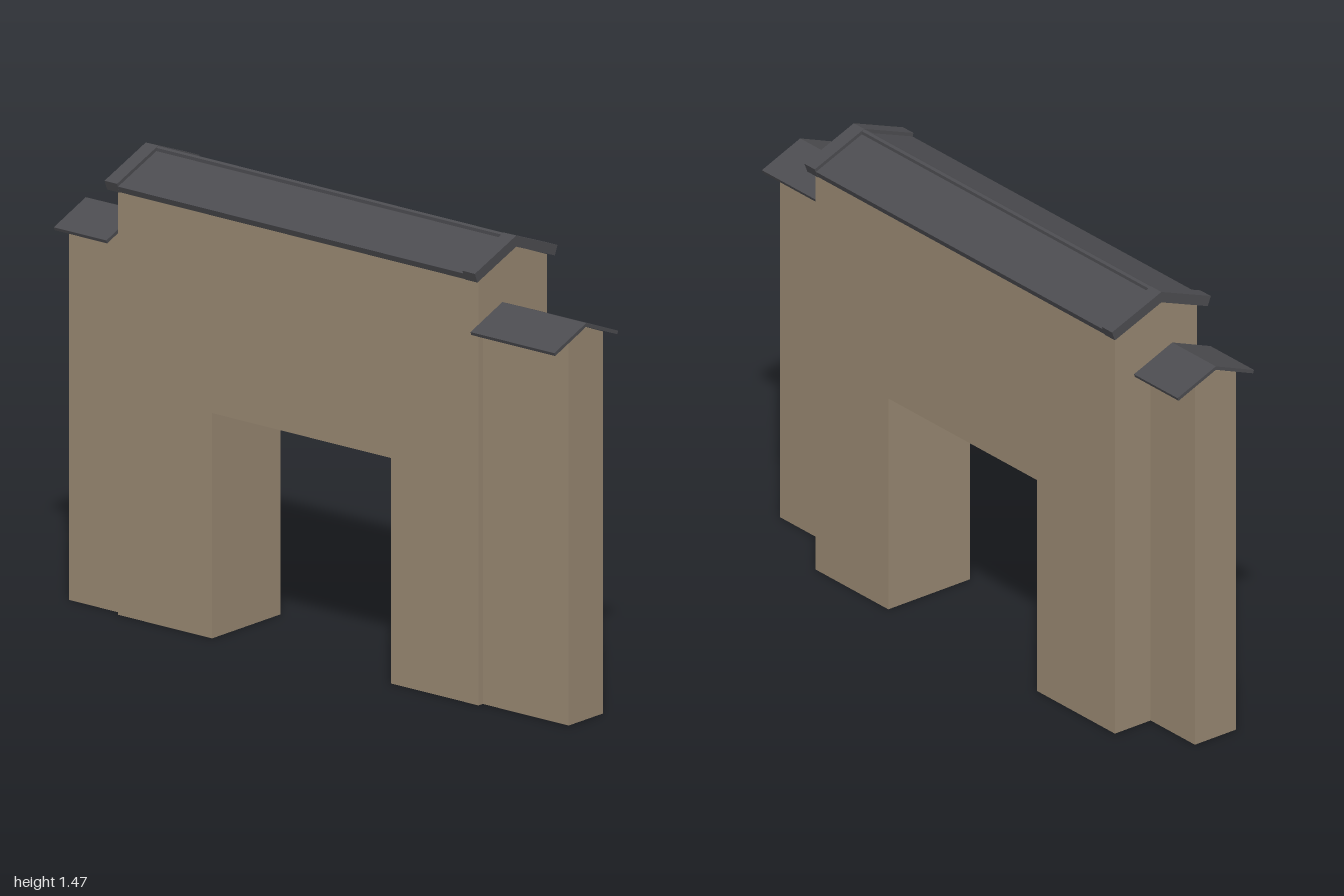
import * as THREE from 'three';

const wallMat = new THREE.MeshStandardMaterial({ color: 0x978771 });
wallMat.name = 'plaster wall';
const roofMat = new THREE.MeshStandardMaterial({ color: 0x4c4c50 });
roofMat.name = 'slate roof';

// Prism with an x-y outline running from z0 to z1
function prism(name, points, z0, z1, material) {
  const shape = new THREE.Shape(points.map(([x, y]) => new THREE.Vector2(x, y)));
  const geometry = new THREE.ExtrudeGeometry(shape, { depth: z1 - z0, bevelEnabled: false });
  geometry.translate(0, 0, z0);
  const mesh = new THREE.Mesh(geometry, material);
  mesh.name = name;
  return mesh;
}

// Pitched roof outline: square-cut eaves, ridge at (cx, ridgeY)
function roofOutline(cx, ridgeY, half, slope, thick) {
  const len = Math.hypot(1, slope);
  const dx = thick * slope / len, dy = thick / len;
  const eaveY = ridgeY - half * slope;
  return [
    [cx - half, eaveY], [cx - half + dx, eaveY - dy],
    [cx, ridgeY - thick * len],
    [cx + half - dx, eaveY - dy], [cx + half, eaveY], [cx, ridgeY],
  ];
}

export function createModel() {
  const group = new THREE.Group();
  group.name = 'gateway';

  // Main wall with the square opening, drawn from the side
  const side = new THREE.Shape([
    [-0.655, 0], [-0.305, 0], [-0.305, 0.72], [0.41, 0.72],
    [0.41, 0], [0.785, 0], [0.785, 1.365], [-0.655, 1.365],
  ].map(([x, y]) => new THREE.Vector2(x, y)));
  const wallGeometry = new THREE.ExtrudeGeometry(side, { depth: 0.323, bevelEnabled: false });
  wallGeometry.rotateY(Math.PI / 2).translate(-0.155, 0, 0);
  const wall = new THREE.Mesh(wallGeometry, wallMat);
  wall.name = 'mainWall';
  group.add(wall);
  group.add(prism('mainGable', [[-0.155, 1.365], [0.168, 1.365], [0.006, 1.43]], -0.785, 0.655, wallMat));

  // Main roof: thinner panel, thick end bands and a narrow ridge strip
  group.add(prism('roofPanel', roofOutline(0.005, 1.454, 0.19, 0.39, 0.021), -0.76, 0.62, roofMat));
  const band = roofOutline(0.005, 1.466, 0.195, 0.39, 0.033);
  group.add(prism('frontRoofBand', band, 0.62, 0.67, roofMat));
  group.add(prism('backRoofBand', band, -0.81, -0.76, roofMat));
  group.add(prism('ridgeStrip', [[-0.004, 1.445], [0.014, 1.445], [0.014, 1.461], [0.005, 1.465], [-0.004, 1.461]],
    -0.76, 0.62, roofMat));

  // Lower side walls with small gabled roofs at both ends
  const pier = [[-0.135, 0], [0.027, 0], [0.027, 1.221], [-0.054, 1.253], [-0.135, 1.221]];
  const smallRoof = roofOutline(-0.054, 1.267, 0.151, 0.4, 0.011);
  for (const [name, inner, outer, roofInner] of [
    ['front', 0.655, 0.998, 0.665], ['back', -0.785, -0.998, -0.79],
  ]) {
    const end = Math.sign(outer);
    group.add(prism(name + 'SideWall', pier, Math.min(inner, outer), Math.max(inner, outer), wallMat));
    group.add(prism(name + 'SideRoof', smallRoof, Math.min(roofInner, end), Math.max(roofInner, end), roofMat));
  }
  return group;
}
